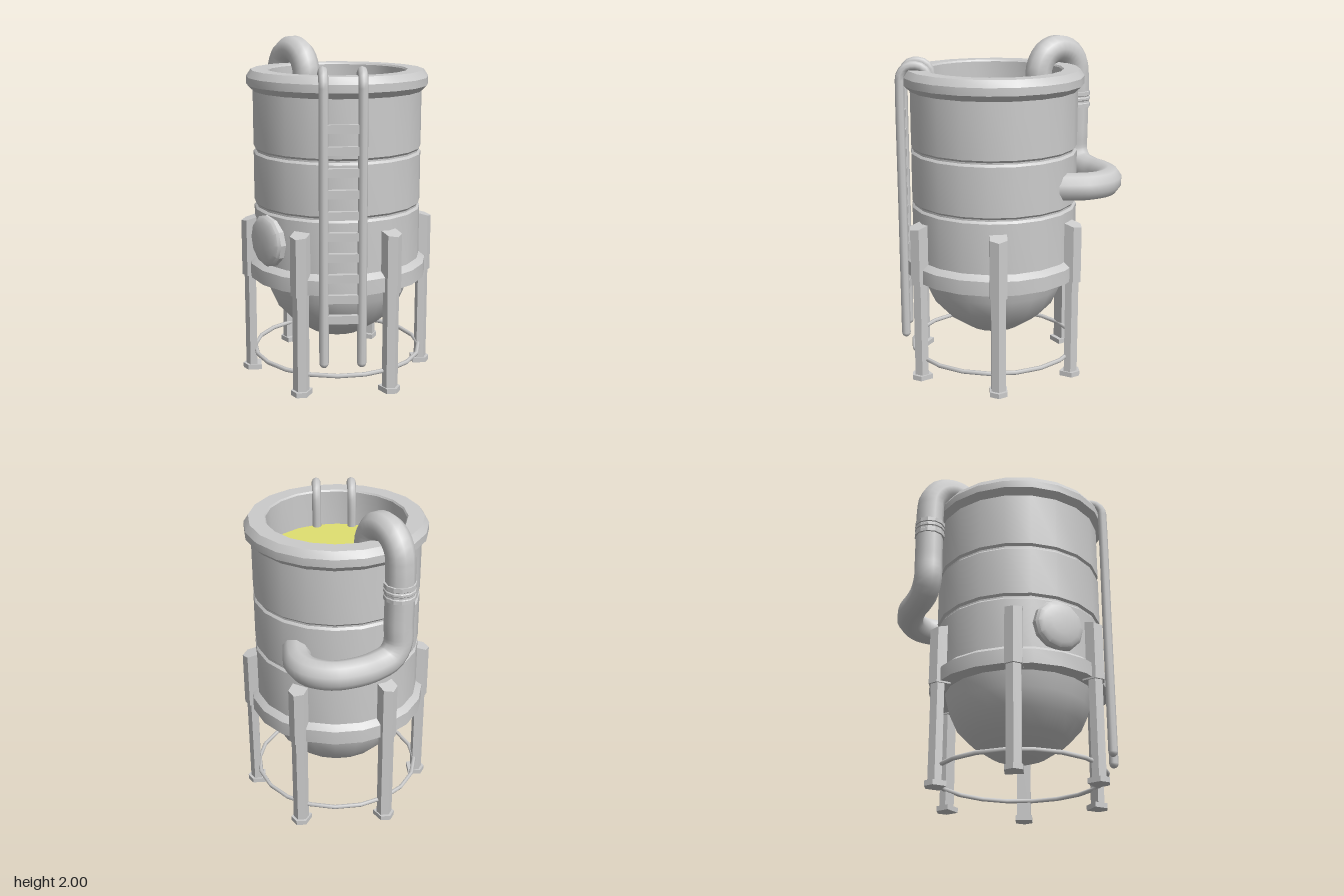
import * as THREE from 'three';
import { toCreasedNormals } from 'three/addons/utils/BufferGeometryUtils.js';

const grey = new THREE.MeshStandardMaterial({ color: 0xcccccc });
const yellow = new THREE.MeshStandardMaterial({ color: 0xe0e070 });

function add(parent, name, geometry, material = grey) {
  const mesh = new THREE.Mesh(geometry, material);
  mesh.name = name;
  parent.add(mesh);
  return mesh;
}

function lathe(points, sides) {
  const g = new THREE.LatheGeometry(points.map(p => new THREE.Vector2(...p)), sides);
  return toCreasedNormals(g, 0.5);
}

function tube(points, radius, segments, sides) {
  const curve = new THREE.CatmullRomCurve3(points.map(p => new THREE.Vector3(...p)));
  return new THREE.TubeGeometry(curve, segments, radius, sides);
}

// Upright bar with a flat back and a pointed outer face, its top sloping outwards
function legBar(inner, outer, half, bottom, top, slope = 0) {
  const shoulder = outer - half * 0.577;
  const shape = new THREE.Shape([
    [inner, -half], [shoulder, -half], [outer, 0], [shoulder, half], [inner, half],
  ].map(p => new THREE.Vector2(...p)));
  const g = new THREE.ExtrudeGeometry(shape, { depth: top - bottom, bevelEnabled: false });
  g.rotateX(-Math.PI / 2).translate(0, bottom, 0);
  const pos = g.attributes.position;
  for (let i = 0; i < pos.count; i++) {
    if (pos.getY(i) > top - 0.001) pos.setY(i, top - slope * (pos.getX(i) - inner));
  }
  g.computeVertexNormals();
  return g;
}

export function createModel() {
  const model = new THREE.Group();
  model.name = 'storageTank';
  const body = new THREE.Group();
  body.name = 'tankAssembly';
  body.position.set(0.055, 0, 0.015);
  model.add(body);

  // Bowl, base band, grooved wall, rim and inner wall in one profile
  const groove = y => [[0.495, y - 0.018], [0.483, y - 0.005], [0.483, y + 0.005], [0.495, y + 0.018]];
  add(body, 'tank', lathe([
    [0, 0.19], [0.165, 0.25], [0.29, 0.335], [0.37, 0.42], [0.415, 0.52], [0.44, 0.61],
    [0.532, 0.61], [0.532, 0.695], [0.495, 0.725],
    ...groove(1.04), ...groove(1.365),
    [0.495, 1.71], [0.532, 1.745], [0.532, 1.79], [0.505, 1.83],
    [0.412, 1.83], [0.405, 1.82], [0.405, 1.58],
  ], 20));
  const liquid = add(body, 'liquid', new THREE.CircleGeometry(0.406, 20), yellow);
  liquid.rotation.x = -Math.PI / 2;
  liquid.position.y = 1.61;

  // Domed hatch on the front
  const hatch = add(body, 'hatch', lathe([
    [0.152, 0.44], [0.152, 0.505], [0.14, 0.52], [0.115, 0.533], [0.06, 0.54], [0, 0.542],
  ], 12));
  hatch.rotation.x = Math.PI / 2;
  hatch.position.y = 0.87;

  // Six legs
  for (let i = 0; i < 6; i++) {
    const leg = new THREE.Group();
    leg.name = 'leg' + (i + 1);
    leg.rotation.y = i * Math.PI / 3;
    add(leg, 'legSleeve', legBar(0.46, 0.575, 0.05, 0.6, 0.97, 0.3));
    add(leg, 'legShaft', legBar(0.495, 0.562, 0.042, 0.02, 0.61));
    add(leg, 'foot', legBar(0.47, 0.58, 0.05, 0, 0.03));
    body.add(leg);
  }

  // Ring tying the legs together
  const ring = add(body, 'braceRing', new THREE.TorusGeometry(0.505, 0.013, 6, 20));
  ring.rotation.x = Math.PI / 2;
  ring.position.y = 0.125;

  // Ladder hooked over the rim: local x points away from the tank
  const ladder = new THREE.Group();
  ladder.name = 'ladder';
  ladder.rotation.y = -33 * Math.PI / 180;
  body.add(ladder);
  for (const z of [-0.107, 0.107]) {
    add(ladder, 'ladderRail', tube([
      [0.54, 0.22, z], [0.54, 1, z], [0.54, 1.74, z], [0.537, 1.8, z], [0.51, 1.842, z],
      [0.47, 1.857, z], [0.42, 1.85, z], [0.385, 1.82, z], [0.372, 1.77, z], [0.372, 1.58, z],
    ], 0.027, 70, 8));
    const end = add(ladder, 'railEnd', new THREE.SphereGeometry(0.027, 8, 6));
    end.position.set(0.54, 0.22, z);
  }
  for (let i = 0; i < 10; i++) {
    const rung = add(ladder, 'rung', new THREE.BoxGeometry(0.03, 0.048, 0.2));
    rung.position.set(0.54, 0.48 + i * 0.1195, 0);
  }

  // Pipe from the back of the wall, up the side and over the rim into the liquid
  add(model, 'pipe', tube([
    [-0.1, 1.175, -0.37], [-0.19, 1.175, -0.43], [-0.28, 1.175, -0.473], [-0.39, 1.175, -0.473],
    [-0.495, 1.175, -0.39], [-0.545, 1.175, -0.24], [-0.548, 1.178, -0.13], [-0.548, 1.2, -0.04],
    [-0.548, 1.27, 0.01], [-0.548, 1.4, 0.012], [-0.548, 1.74, 0.012], [-0.537, 1.82, 0.012],
    [-0.485, 1.89, 0.012], [-0.4, 1.917, 0.012], [-0.315, 1.885, 0.012], [-0.27, 1.81, 0.012],
    [-0.265, 1.74, 0.012], [-0.265, 1.58, 0.012],
  ], 0.083, 64, 10));

  // Double-ringed collar on the pipe
  const collar = add(model, 'pipeCollar', lathe([
    [0.075, 1.55], [0.091, 1.553], [0.091, 1.575], [0.086, 1.58], [0.086, 1.592], [0.091, 1.597],
    [0.091, 1.61], [0.086, 1.615], [0.086, 1.62], [0.091, 1.624], [0.091, 1.648], [0.075, 1.651],
  ], 12));
  collar.position.set(-0.548, 0, 0.012);

  return model;
}
